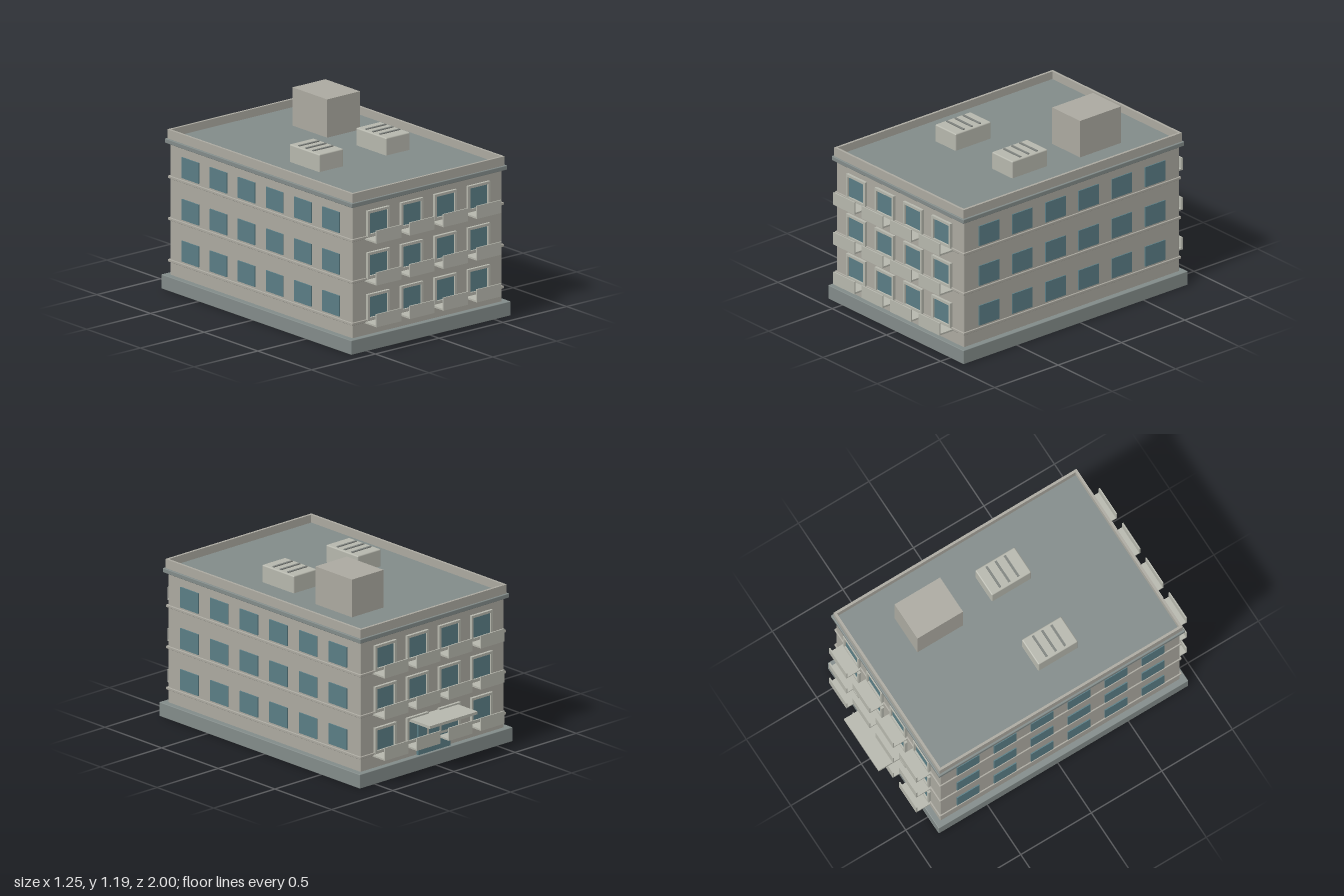
import * as THREE from 'three';
import { RoundedBoxGeometry } from 'three/addons/geometries/RoundedBoxGeometry.js';

const mat = (color) => new THREE.MeshStandardMaterial({ color });
const wallMat = mat(0xaba9a0);
const trimMat = mat(0xb6b7ad);
const stoneMat = mat(0x828b89);
const glassMat = mat(0x5a7d85);
const slatMat = mat(0x7f837f);

const MID_Z = 0.04;       // middle of the building along z
const HALF_X = 0.587;     // wall faces
const HALF_Z = 0.85;
const FLOOR_STEP = 0.262;

// Box given by its limits on each axis, with optional rounded edges
function box(parent, name, material, [x0, x1], [y0, y1], [z0, z1], radius = 0) {
  const size = [x1 - x0, y1 - y0, z1 - z0];
  const geometry = radius
    ? new RoundedBoxGeometry(...size, 2, radius)
    : new THREE.BoxGeometry(...size);
  const mesh = new THREE.Mesh(geometry, material);
  mesh.name = name;
  mesh.position.set((x0 + x1) / 2, (y0 + y1) / 2, (z0 + z1) / 2);
  parent.add(mesh);
  return mesh;
}

// Box centred on the building's axis, given by half extents
function slab(parent, name, material, hx, y, hz, radius = 0) {
  return box(parent, name, material, [-hx, hx], y, [MID_Z - hz, MID_Z + hz], radius);
}

// Rectangular outline with a rectangular hole
function frameShape(x0, x1, y0, y1, border) {
  const rect = (path, a, b, c, d) =>
    path.moveTo(a, c).lineTo(b, c).lineTo(b, d).lineTo(a, d).closePath();
  const shape = new THREE.Shape();
  rect(shape, x0, x1, y0, y1);
  const hole = new THREE.Path();
  rect(hole, x0 + border, x1 - border, y0 + border, y1 - border);
  shape.holes.push(hole);
  return shape;
}

// Framed window with a balcony, built on a wall at z = 0 facing +z
function balconyWindow() {
  const g = new THREE.Group();
  g.name = 'balconyWindow';
  const frame = new THREE.Mesh(
    new THREE.ExtrudeGeometry(frameShape(-0.087, 0.087, 0.183, 0.345, 0.016),
      { depth: 0.022, bevelEnabled: false }), trimMat);
  frame.name = 'windowFrame';
  frame.position.z = -0.004;
  g.add(frame);
  box(g, 'windowPane', glassMat, [-0.073, 0.073], [0.196, 0.331], [-0.005, 0.007]);
  box(g, 'balconyFloor', trimMat, [-0.097, 0.097], [0.165, 0.176], [-0.005, 0.11]);
  box(g, 'balconyFront', trimMat, [-0.097, 0.097], [0.165, 0.246], [0.102, 0.11]);
  return g;
}

function roofUnit(parent, x0) {
  const g = new THREE.Group();
  g.name = 'roofUnit';
  const x1 = x0 + 0.19;
  box(g, 'roofUnitHousing', trimMat, [x0, x1], [0.94, 1.06], [0.03, 0.31], 0.008);
  for (const z of [0.1, 0.165, 0.23]) {
    box(g, 'ventSlat', slatMat, [x0 + 0.017, x1 - 0.017], [1.05, 1.066], [z - 0.007, z + 0.007]);
  }
  parent.add(g);
}

export function createModel() {
  const root = new THREE.Group();
  root.name = 'apartmentBuilding';

  // Plinth, walls and cornice
  slab(root, 'plinth', stoneMat, 0.625, [0, 0.09], 0.885, 0.004);
  slab(root, 'walls', wallMat, HALF_X, [0.08, 0.925], HALF_Z, 0.006);
  slab(root, 'cornice', stoneMat, 0.609, [0.915, 0.943], 0.872, 0.004);
  slab(root, 'roofDeck', stoneMat, 0.583, [0.93, 0.95], 0.848);

  // Parapet ring, with the outline turned flat
  const parapetShape = frameShape(-0.597, 0.597, -0.862, 0.862, 0.016);
  const parapet = new THREE.Mesh(
    new THREE.ExtrudeGeometry(parapetShape, { depth: 0.06, bevelEnabled: false }), wallMat);
  parapet.name = 'parapet';
  parapet.rotation.x = -Math.PI / 2;
  parapet.position.set(0, 0.94, MID_Z);
  root.add(parapet);

  for (let floor = 0; floor < 3; floor++) {
    const y = floor * FLOOR_STEP;
    slab(root, 'floorBand', wallMat, 0.595, [y + 0.17, y + 0.187], 0.858, 0.003);

    // Balcony windows at both ends
    for (const side of [1, -1]) {
      for (let i = 0; i < 4; i++) {
        const w = balconyWindow();
        w.position.set((i - 1.5) * FLOOR_STEP, y, MID_Z + side * HALF_Z);
        if (side < 0) w.rotation.y = Math.PI;
        root.add(w);
      }
      // Plain windows along both long sides
      for (let i = 0; i < 6; i++) {
        const z = MID_Z + (i - 2.5) * FLOOR_STEP;
        const x = side * HALF_X;
        box(root, 'sideWindow', glassMat, [x - 0.007, x + 0.007],
          [y + 0.2, y + 0.33], [z - 0.079, z + 0.079]);
      }
    }
  }

  // Rear entrance
  box(root, 'entranceDoor', glassMat, [-0.13, 0.13], [0.09, 0.31], [-0.828, -0.8]);
  box(root, 'entranceCanopy', trimMat, [-0.195, 0.195], [0.317, 0.335], [-1, -0.8]);

  // Rooftop
  box(root, 'stairHouse', wallMat, [0.13, 0.388], [0.94, 1.19], [-0.52, -0.197]);
  roofUnit(root, -0.358);
  roofUnit(root, 0.165);

  return root;
}
